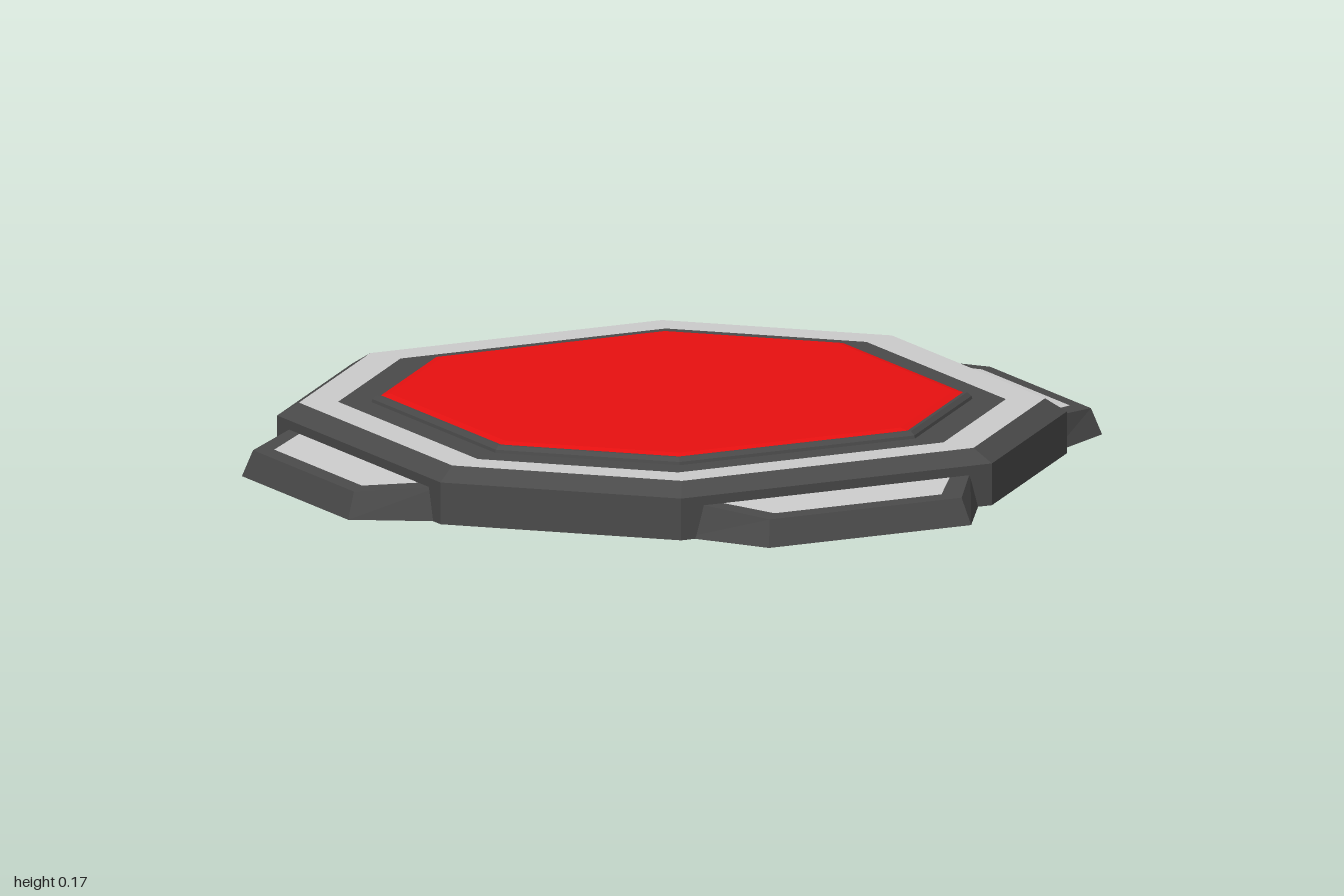
import * as THREE from 'three';

const dark = new THREE.MeshStandardMaterial({ color: 0x4a4a4a });
const light = new THREE.MeshStandardMaterial({ color: 0xcccccc });
const red = new THREE.MeshStandardMaterial({ color: 0xe81010 });
const shade = new THREE.MeshStandardMaterial({ color: 0x222222 });

// Octagon loop: half width h, half length c of the straight sides, height y
const octagon = (h, c, y) =>
  [[h, c], [h, -c], [c, -h], [-c, -h], [-h, -c], [-h, c], [-c, h], [c, h]]
    .map(([x, z]) => new THREE.Vector3(x, y, z));

// Trapezoid loop pointing to +x: outer edge, then inner edge
const trapezoid = (outer, outerHalf, outerY, inner, innerHalf, innerY) => [
  new THREE.Vector3(outer, outerY, outerHalf),
  new THREE.Vector3(outer, outerY, -outerHalf),
  new THREE.Vector3(inner, innerY, -innerHalf),
  new THREE.Vector3(inner, innerY, innerHalf),
];

// Flat-faced skin through loops, with optional bottom and top caps
function loft(name, material, loops, { bottom = false, top = false } = {}) {
  const points = [];
  for (let k = 0; k + 1 < loops.length; k++) {
    const a = loops[k], b = loops[k + 1], n = a.length;
    for (let i = 0; i < n; i++) {
      const j = (i + 1) % n;
      points.push(a[i], a[j], b[j], a[i], b[j], b[i]);
    }
  }
  const cap = (p) => {
    for (let i = 1; i + 1 < p.length; i++) points.push(p[0], p[i], p[i + 1]);
  };
  if (bottom) cap([...loops[0]].reverse());
  if (top) cap(loops[loops.length - 1]);
  const geometry = new THREE.BufferGeometry().setFromPoints(points);
  geometry.computeVertexNormals();
  const mesh = new THREE.Mesh(geometry, material);
  mesh.name = name;
  return mesh;
}

// Corner foot with a sloping inset panel
function createFoot() {
  const foot = new THREE.Group();
  foot.name = 'cornerFoot';
  const base = trapezoid(1.115, 0.299, 0, 0.9, 0.435, 0);
  const rim = trapezoid(1.09, 0.284, 0.07, 0.9, 0.41, 0.09);
  const panel = trapezoid(1.047, 0.247, 0.0745, 0.9, 0.354, 0.09);
  foot.add(
    loft('footFrame', dark, [base, rim, panel]),
    loft('footPanel', light, [panel], { top: true }),
    loft('footUnderside', shade, [base], { bottom: true }),
  );
  // keep the underside just above the base plate's bottom
  foot.children[2].position.y = 0.001;
  return foot;
}

export function createModel() {
  const model = new THREE.Group();
  model.name = 'octagonalPad';

  // Base plate with bevelled edge
  const shoulder = octagon(0.925, 0.315, 0.147);
  const ringInner = octagon(0.83, 0.275, 0.147);
  model.add(loft('basePlate', dark,
    [octagon(0.98, 0.33, 0), octagon(0.98, 0.33, 0.112), shoulder], { bottom: true }));

  // Light ring on the top
  model.add(loft('topRing', light, [shoulder, ringInner]));

  // Dark inner deck and stepped lip
  const lip = octagon(0.722, 0.244, 0.165);
  model.add(loft('innerDeck', dark, [
    ringInner,
    octagon(0.745, 0.253, 0.147),
    octagon(0.743, 0.252, 0.155),
    octagon(0.732, 0.248, 0.165),
    lip,
  ]));

  // Red centre panel
  model.add(loft('centrePanel', red, [lip, octagon(0.7, 0.236, 0.17)], { top: true }));

  // Four feet on the diagonals
  for (let i = 0; i < 4; i++) {
    const foot = createFoot();
    foot.rotation.y = Math.PI / 4 + (i * Math.PI) / 2;
    model.add(foot);
  }
  return model;
}
